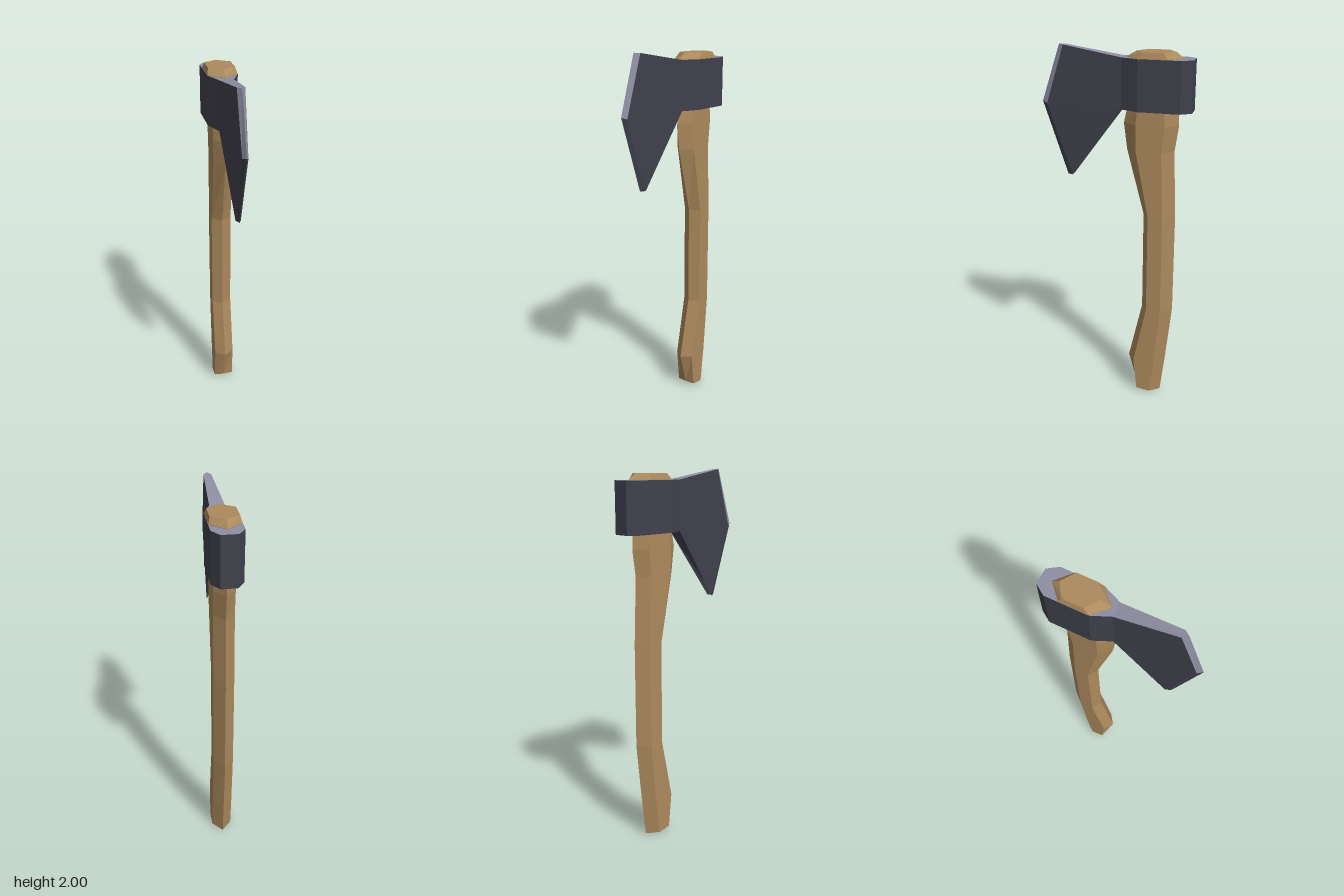
import * as THREE from 'three';

const wood = new THREE.MeshStandardMaterial({ name: 'wood', color: 0xac8a5d });
const darkSteel = new THREE.MeshStandardMaterial({ name: 'darkSteel', color: 0x41414d });
const brightSteel = new THREE.MeshStandardMaterial({ name: 'brightSteel', color: 0x8e8ea3 });

// Flat-shaded mesh from convex polygons, each a list of [x, y, z] corners
function facetMesh(name, polygons, material) {
  const pos = [];
  for (const p of polygons)
    for (let i = 1; i < p.length - 1; i++) pos.push(...p[0], ...p[i], ...p[i + 1]);
  const geo = new THREE.BufferGeometry();
  geo.setAttribute('position', new THREE.Float32BufferAttribute(pos, 3));
  geo.computeVertexNormals();
  const mesh = new THREE.Mesh(geo, material);
  mesh.name = name;
  return mesh;
}

const flip = ([x, y, z]) => [-x, y, z];
const mirrored = (polys) => [...polys, ...polys.map((p) => p.map(flip).reverse())];

// Polygons of a closed stack of rings, each ring counter-clockwise from above
function loft(rings) {
  const polys = [];
  for (let r = 0; r < rings.length - 1; r++) {
    const lo = rings[r], hi = rings[r + 1];
    lo.forEach((p, i) => {
      const j = (i + 1) % lo.length;
      polys.push([p, lo[j], hi[j], hi[i]]);
    });
  }
  return polys;
}

function createHandle() {
  // y, half width, then z of front ridge, front corner, back corner, back ridge
  const sections = [
    [0.005, 0.055, -0.135, -0.14, -0.215, -0.27],
    [0.21, 0.055, -0.08, -0.12, -0.24, -0.295],
    [0.55, 0.055, -0.155, -0.19, -0.27, -0.33],
    [1.11, 0.055, -0.155, -0.19, -0.27, -0.33],
    [1.47, 0.055, -0.06, -0.12, -0.255, -0.315],
    [1.61, 0.055, -0.042, -0.117, -0.27, -0.335],
    [1.69, 0.055, -0.06, -0.125, -0.265, -0.33],
    [1.95, 0.078, -0.055, -0.13, -0.28, -0.35],
    [1.98, 0.07, -0.108, -0.158, -0.262, -0.31],
  ];
  const rings = sections.map(([y, w, f, fc, bc, b]) => [
    [0, y, f], [w, y, fc], [w, y, bc], [0, y, b], [-w, y, bc], [-w, y, fc],
  ]);
  // Butt tilts slightly down towards the back
  rings[0].forEach((p) => { p[1] = 0.02 + (p[2] + 0.135) * 0.148; });
  const bottom = [...rings[0]].reverse();
  return facetMesh('handle', [...loft(rings), bottom, rings[rings.length - 1]], wood);
}

function createHead() {
  const head = new THREE.Group();
  head.name = 'axeHead';

  // Socket band around the handle
  const half = [[0.038, -0.035], [0.079, -0.13], [0.079, -0.35], [0.042, -0.405]];
  const outline = [...half, ...half.map(([x, z]) => [-x, z]).reverse()];
  const low = outline.map(([x, z]) => [x, 1.685, z]);
  const high = outline.map(([x, z]) => [x, 1.948, z]);
  const walls = loft([low, high]).slice(0, 7); // front is closed by the blade
  head.add(facetMesh('socket', [...walls, [...low].reverse()], darkSteel));
  head.add(facetMesh('socketTop', [high], brightSteel));

  // Blade corners: bevel line and sharp edge at top, middle and bottom
  const bt = [0.02, 1.998, 0.278], bm = [0.015, 1.69, 0.377], bb = [0.014, 1.305, 0.242];
  const et = [0, 2, 0.305], em = [0, 1.7, 0.405], eb = [0, 1.305, 0.272];
  const sl = low[0], sh = high[0];
  const sides = mirrored([[sl, sh, bt, bm, bb], [bm, em, eb, bb]]);
  const under = [eb, flip(bb), flip(sl), sl, bb];
  head.add(facetMesh('blade', [...sides, under], darkSteel));
  head.add(facetMesh('bladeTop', [[et, bt, sh, flip(sh), flip(bt)]], brightSteel));
  head.add(facetMesh('upperCuttingEdge', mirrored([[bt, et, em, bm]]), brightSteel));
  return head;
}

export function createModel() {
  const model = new THREE.Group();
  model.name = 'axe';
  model.add(createHandle(), createHead());
  return model;
}
